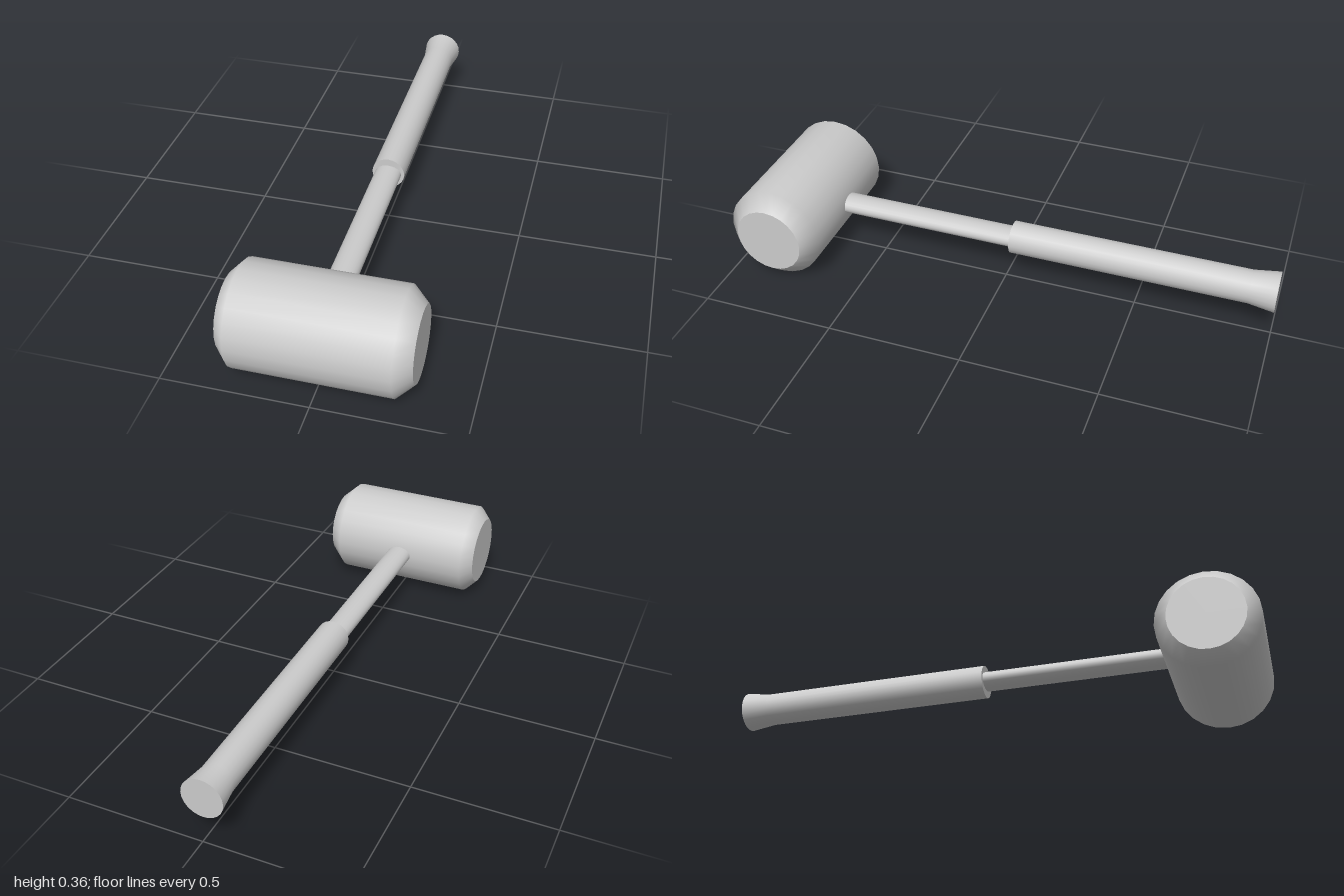
import * as THREE from 'three';
import { mergeGeometries } from 'three/addons/utils/BufferGeometryUtils.js';

const material = new THREE.MeshStandardMaterial({ color: 0xcccccc });

// Smooth turned side from [radius, height] pairs (rising), closed by flat discs
function turned(profile, segments = 24) {
  const lathe = (pts) =>
    new THREE.LatheGeometry(pts.map(([r, h]) => new THREE.Vector2(r, h)), segments);
  const first = profile[0];
  const last = profile[profile.length - 1];
  return mergeGeometries([
    lathe([[0, first[1]], first]),
    lathe(profile),
    lathe([last, [0, last[1]]]),
  ]);
}

export function createModel() {
  const model = new THREE.Group();
  const add = (name, geometry, x, y, z) => {
    const mesh = new THREE.Mesh(geometry, material);
    mesh.name = name;
    mesh.position.set(x, y, z);
    model.add(mesh);
  };

  // Head: barrel lying along x with bevelled striking faces
  const head = turned([[0.133, -0.315], [0.179, -0.272], [0.179, 0.26], [0.127, 0.315]]);
  add('head', head.rotateZ(-Math.PI / 2), 0, 0.18, 0.822);

  // Handle parts run backwards along -z
  // Shaft: oval rod seated inside the head and the grip
  const shaft = turned([[0.049, -0.78], [0.049, 0.06]]).scale(1, 1, 0.68);
  add('shaft', shaft.rotateX(-Math.PI / 2), -0.009, 0.181, 0);

  // Grip: thicker sleeve with a flared butt
  const grip = turned([[0.061, 0.025], [0.061, 0.905], [0.074, 1]]);
  add('grip', grip.rotateX(-Math.PI / 2), -0.009, 0.181, 0);

  return model;
}
